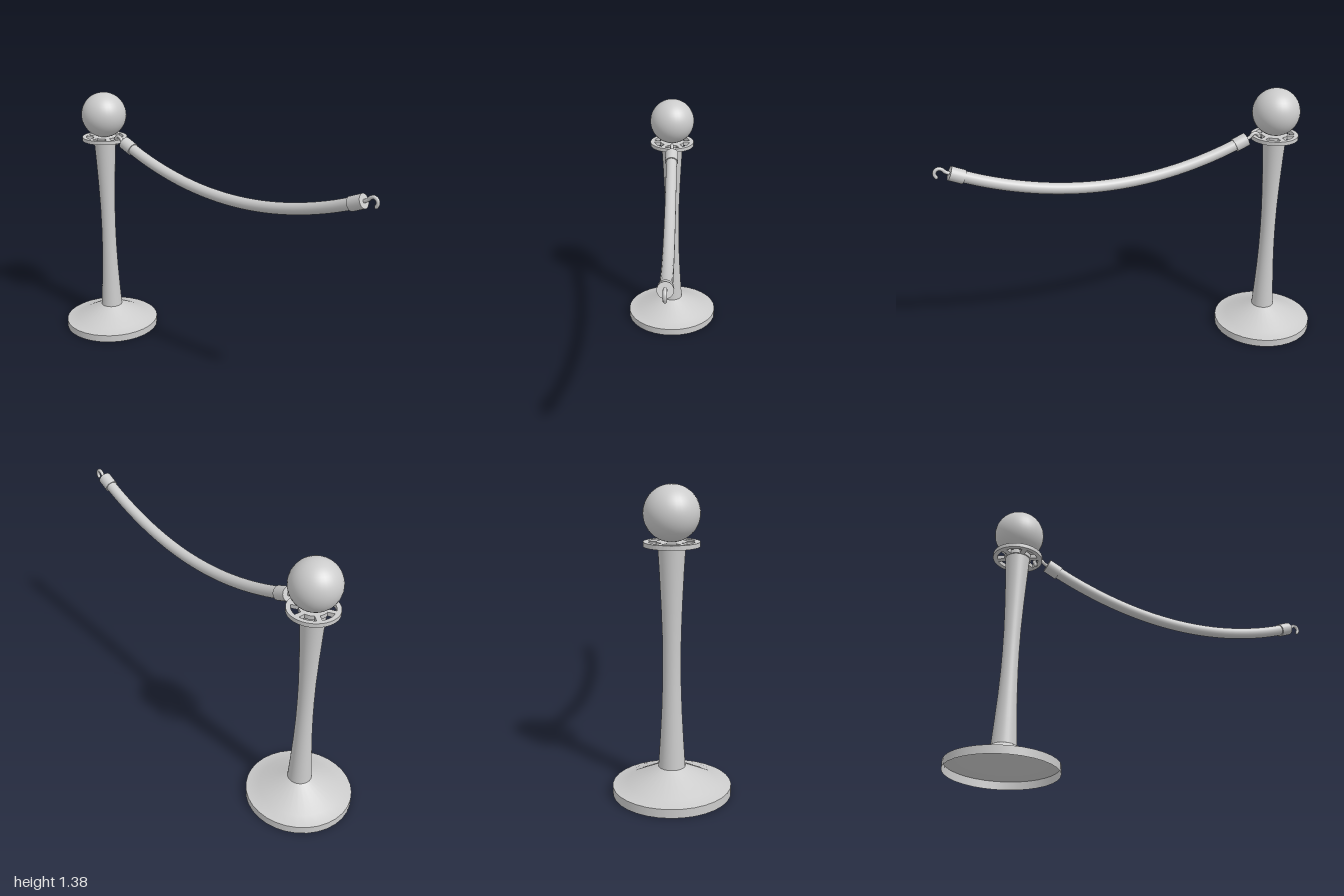
import * as THREE from 'three';

const POST_Z = -0.735; // post axis
const ROPE_Z = 0.172; // lowest point of the rope
const HALF = 0.718; // rope centre to collar centre

const mat = new THREE.MeshStandardMaterial({ color: 0xcccccc });
const openMat = new THREE.MeshStandardMaterial({ color: 0xcccccc, side: THREE.DoubleSide });

function add(parent, name, geometry, material = mat) {
  const mesh = new THREE.Mesh(geometry, material);
  mesh.name = name;
  parent.add(mesh);
  return mesh;
}

const lathe = (pts) => new THREE.LatheGeometry(pts.map(([r, y]) => new THREE.Vector2(r, y)), 32);

// Flat ring with a hub and curved slots, one slot facing the rope
function hookPlate() {
  const shape = new THREE.Shape();
  shape.absarc(0, 0, 0.122, 0, Math.PI * 2);
  const slots = 6;
  for (let i = 0; i < slots; i++) {
    const mid = -Math.PI / 2 + (i * Math.PI * 2) / slots;
    const hole = new THREE.Path();
    hole.absarc(0, 0, 0.1, mid - 0.4, mid + 0.4, false);
    hole.absarc(0, 0, 0.066, mid + 0.34, mid - 0.34, true);
    hole.closePath();
    shape.holes.push(hole);
  }
  const geo = new THREE.ExtrudeGeometry(shape, { depth: 0.02, bevelEnabled: false, curveSegments: 24 });
  return geo.rotateX(-Math.PI / 2);
}

// Collar and hook, built along +z from the collar centre
function ropeEnd() {
  const end = new THREE.Group();
  const collar = add(end, 'collar', new THREE.CylinderGeometry(0.035, 0.035, 0.07, 24));
  collar.rotation.x = Math.PI / 2 - 0.4;

  const points = [[0.02, 0.008], [0.05, 0.022], [0.064, 0.036], [0.08, 0.041],
    [0.096, 0.033], [0.101, 0.015], [0.094, 0]];
  const path = new THREE.CatmullRomCurve3(points.map(([z, y]) => new THREE.Vector3(0, y, z)));
  add(end, 'hook', new THREE.TubeGeometry(path, 32, 0.009, 10));
  const tip = add(end, 'hookTip', new THREE.SphereGeometry(0.009, 10, 8));
  tip.position.set(0, 0, 0.094);
  return end;
}

export function createModel() {
  const model = new THREE.Group();
  model.name = 'ropeBarrier';

  // Post with a hollow foot
  const post = new THREE.Group();
  post.name = 'post';
  post.position.z = POST_Z;
  model.add(post);
  add(post, 'baseRim', lathe([[0.265, 0], [0.265, 0.04]]), openMat);
  add(post, 'baseCone', lathe([[0.265, 0.04], [0.2, 0.053], [0.06, 0.125]]), openMat);
  add(post, 'pole', lathe([[0.06, 0.125], [0.052, 0.25], [0.045, 0.38], [0.041, 0.5],
    [0.04, 0.6], [0.041, 0.72], [0.046, 0.86], [0.053, 1.0], [0.06, 1.115]]), openMat);
  add(post, 'hookPlate', hookPlate()).position.y = 1.114;
  add(post, 'ball', new THREE.SphereGeometry(0.122, 32, 24)).position.y = 1.254;

  // Sagging rope
  const sag = (t) => 0.963 + 0.285 * t * t;
  const ropePoints = [];
  for (let i = -6; i <= 6; i++) {
    const t = (i / 6) * HALF;
    ropePoints.push(new THREE.Vector3(0, sag(t), ROPE_Z + t));
  }
  add(model, 'rope', new THREE.TubeGeometry(new THREE.CatmullRomCurve3(ropePoints), 40, 0.029, 20));

  // Matching fittings at both ends
  for (const side of [1, -1]) {
    const end = ropeEnd();
    end.name = side > 0 ? 'frontFitting' : 'backFitting';
    end.position.set(0, sag(HALF), ROPE_Z + side * HALF);
    if (side < 0) end.rotation.y = Math.PI;
    model.add(end);
  }

  return model;
}
